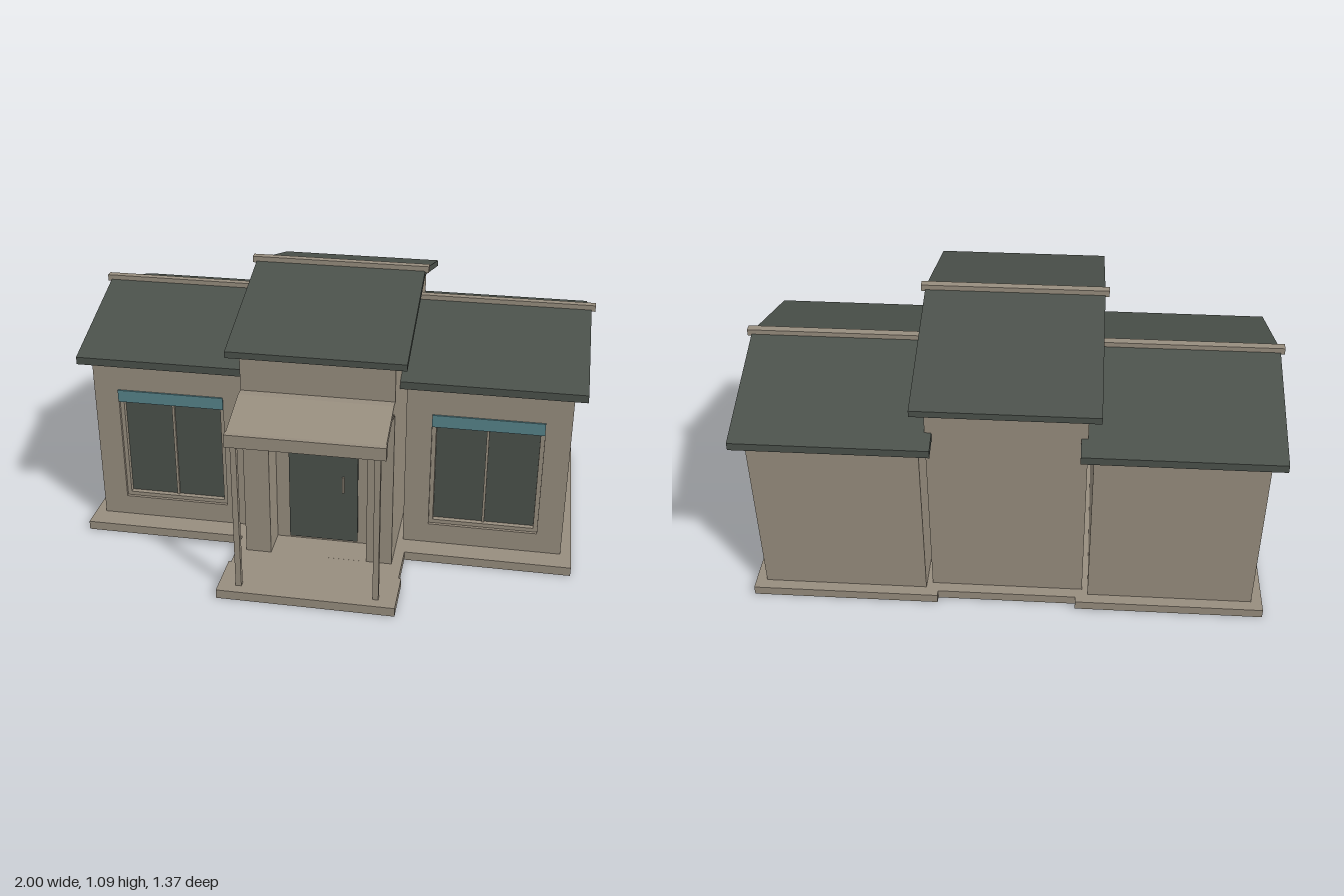
import * as THREE from 'three';

const mat = (name, color) => {
  const m = new THREE.MeshStandardMaterial({ color });
  m.name = name;
  return m;
};

export function createModel() {
  const wall = mat('wall beige', 0x978d7e);
  const dark = mat('roof and glass slate', 0x4b514b);
  const teal = mat('trim teal', 0x56838a);
  const house = new THREE.Group();
  house.name = 'house';

  const add = (name, geometry, material, parent = house) => {
    const mesh = new THREE.Mesh(geometry, material);
    mesh.name = name;
    parent.add(mesh);
    return mesh;
  };
  // Box given by its limits on each axis
  const box = (name, x0, x1, y0, y1, z0, z1, material, parent) =>
    add(name, new THREE.BoxGeometry(x1 - x0, y1 - y0, z1 - z0)
      .translate((x0 + x1) / 2, (y0 + y1) / 2, (z0 + z1) / 2), material, parent);
  const shapeOf = (pts) => new THREE.Shape(pts.map(([a, b]) => new THREE.Vector2(a, b)));
  const rect = (x0, x1, y0, y1) => [[x0, y0], [x1, y0], [x1, y1], [x0, y1]];
  // Side profile of [z, y] points, extruded across x
  const profile = (name, pts, x0, x1, material, parent) =>
    add(name, new THREE.ExtrudeGeometry(shapeOf(pts), { depth: x1 - x0, bevelEnabled: false })
      .rotateY(-Math.PI / 2).translate(x1, 0, 0), material, parent);
  // Front wall panel with one rectangular opening
  const panel = (name, outer, hole, z0, z1, parent) => {
    const shape = shapeOf(rect(...outer));
    shape.holes.push(shapeOf(rect(...hole)));
    add(name, new THREE.ExtrudeGeometry(shape, { depth: z1 - z0, bevelEnabled: false })
      .translate(0, 0, z0), wall, parent);
  };
  // Pitched roof slab with a ridge cap
  const roof = (x0, x1, zFront, zRidge, zBack, yEave, yRidge, t, capX0, capX1, capTop, parent) => {
    profile('roof', [
      [zFront, yEave - t], [zFront, yEave], [zRidge, yRidge], [zBack, yEave],
      [zBack, yEave - t], [zRidge, yRidge - t],
    ], x0, x1, dark, parent);
    box('ridgeCap', capX0, capX1, capTop - 0.025, capTop, zRidge - 0.015, zRidge + 0.015, wall, parent);
  };

  // Plinth
  box('centrePlinth', -0.33, 0.33, 0, 0.036, -0.655, 0.49, wall);
  box('porchPlinth', -0.34, 0.34, 0, 0.036, 0.49, 0.685, wall);

  // Side wings
  for (const s of [-1, 1]) {
    const wing = new THREE.Group();
    wing.name = s > 0 ? 'leftWing' : 'rightWing';
    house.add(wing);
    const span = (a, b) => (s > 0 ? [a, b] : [-b, -a]);
    const [wx0, wx1] = span(0.312, 0.938);
    const [rx0, rx1] = span(0.265, 0.985);
    const [ox0, ox1] = span(0.412, 0.84);
    const [cx0, cx1] = span(0.265, 1);
    box('wingPlinth', ...span(0.265, 0.98), 0, 0.036, -0.68, 0.308, wall, wing);
    box('wingWalls', wx0, wx1, 0.036, 0.73, -0.637, 0.175, wall, wing);
    panel('wingFrontWall', [wx0, wx1, 0.036, 0.73], [ox0, ox1, 0.12, 0.6], 0.175, 0.217, wing);
    profile('wingGable', [[0.217, 0.73], [-0.21, 0.885], [-0.637, 0.73]], wx0, wx1, wall, wing);
    roof(rx0, rx1, 0.258, -0.21, -0.686, 0.758, 0.918, 0.03, cx0, cx1, 0.932, wing);
    box('eaveBoard', ...span(0.3, 0.96), 0.731, 0.75, 0.18, 0.243, wall, wing);

    // Window: recessed glass, frame, mullion and teal blind box
    const f = 0.016;
    const mid = (ox0 + ox1) / 2;
    box('windowGlass', ox0, ox1, 0.12, 0.6, 0.176, 0.184, dark, wing);
    box('frameSide', ox0, ox0 + f, 0.12, 0.6, 0.176, 0.205, wall, wing);
    box('frameSide', ox1 - f, ox1, 0.12, 0.6, 0.176, 0.205, wall, wing);
    box('frameSill', ox0, ox1, 0.12, 0.12 + f, 0.176, 0.205, wall, wing);
    box('mullion', mid - 0.005, mid + 0.005, 0.12, 0.6, 0.176, 0.192, wall, wing);
    box('windowTrim', ox0, ox1, 0.56, 0.61, 0.2, 0.224, teal, wing);
  }

  // Centre block with recessed entrance
  box('centreWalls', -0.29, 0.29, 0.036, 0.89, -0.612, 0.275, wall);
  panel('entranceWall', [-0.29, 0.29, 0.036, 0.89], [-0.19, 0.19, 0.0361, 0.6], 0.275, 0.4);
  profile('centreGable', [[0.4, 0.89], [-0.107, 1.04], [-0.612, 0.89]], -0.29, 0.29, wall);
  roof(-0.335, 0.335, 0.44, -0.107, -0.66, 0.913, 1.075, 0.025, -0.35, 0.35, 1.09);
  box('centreEaveBoard', -0.3, 0.3, 0.888, 0.906, 0.33, 0.436, wall);
  box('door', -0.137, 0.137, 0.047, 0.59, 0.275, 0.284, dark);
  box('doorHandle', 0.076, 0.084, 0.27, 0.34, 0.284, 0.292, wall);
  box('entranceTrim', -0.19, 0.19, 0.56, 0.61, 0.385, 0.408, teal);

  // Porch canopy on two posts
  profile('canopy', [
    [0.64, 0.655], [0.64, 0.682], [0.436, 0.743], [0.4, 0.743], [0.4, 0.715], [0.436, 0.715],
  ], -0.29, 0.29, wall);
  box('canopyWallBeam', -0.29, 0.29, 0.69, 0.743, 0.4, 0.436, wall);
  box('canopyFrontBeam', -0.293, 0.293, 0.635, 0.685, 0.614, 0.65, wall);
  for (const s of [-1, 1]) {
    box('porchPost', s * 0.262 - 0.011, s * 0.262 + 0.011, 0.036, 0.64, 0.621, 0.643, wall);
  }
  return house;
}
